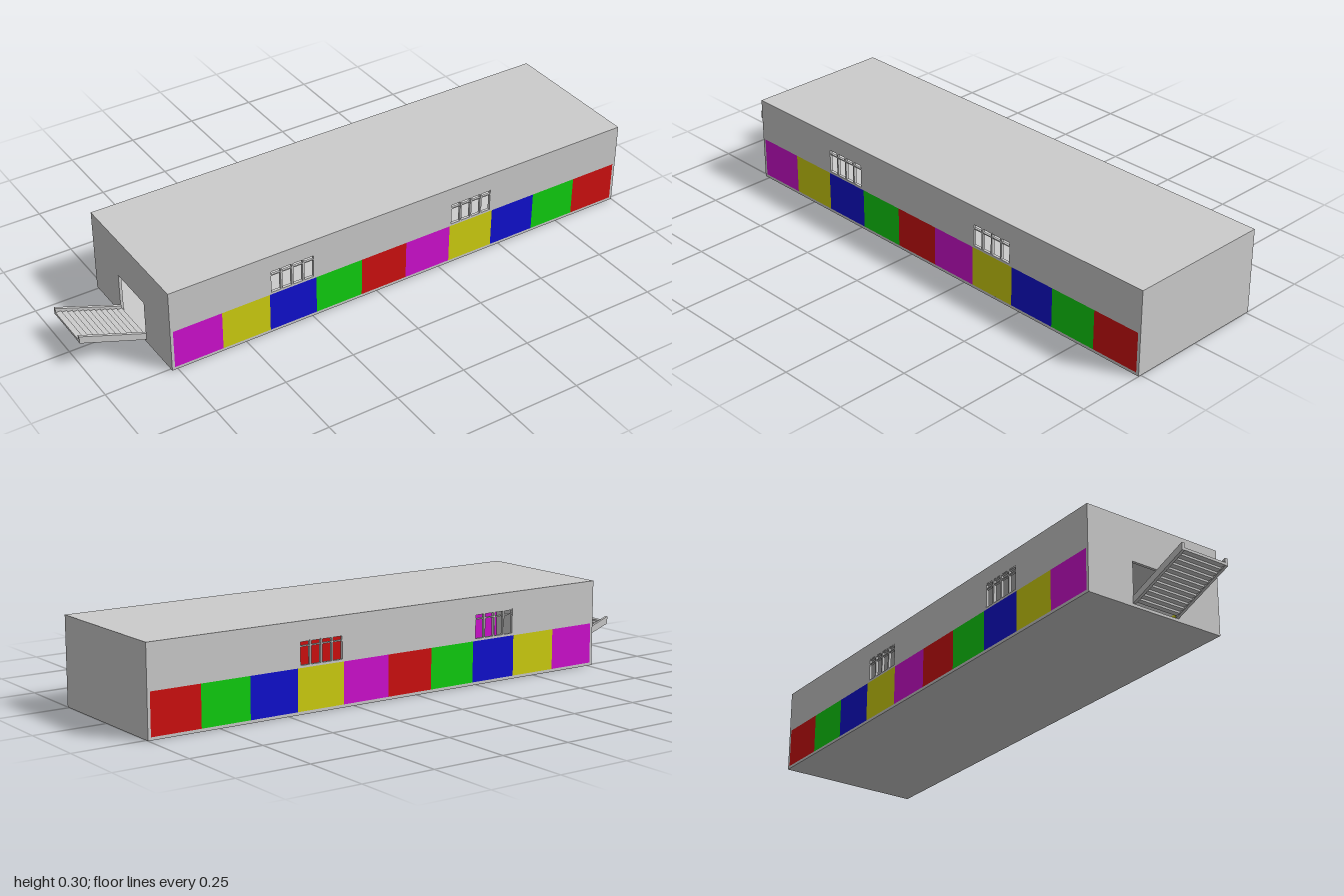
import * as THREE from 'three';

const grey = new THREE.MeshStandardMaterial({ color: 0xcccccc });
const [magenta, yellow, blue, green, red] = [0xd010d0, 0xd0d010, 0x1010d0, 0x10d010, 0xd01010]
  .map((color) => new THREE.MeshStandardMaterial({ color }));

const X0 = -0.77, X1 = 1, H = 0.3, D = 0.26, T = 0.01;
const BAND_TOP = 0.15;

// Box given by its min and max corners
function box(parent, name, [ax, ay, az], [bx, by, bz], material = grey) {
  const mesh = new THREE.Mesh(new THREE.BoxGeometry(bx - ax, by - ay, bz - az), material);
  mesh.position.set((ax + bx) / 2, (ay + by) / 2, (az + bz) / 2);
  mesh.name = name;
  parent.add(mesh);
  return mesh;
}

function rect(path, x0, y0, x1, y1) {
  path.moveTo(x0, y0);
  path.lineTo(x1, y0);
  path.lineTo(x1, y1);
  path.lineTo(x0, y1);
  path.closePath();
  return path;
}

// Wall plate of thickness T with rectangular holes
function wall(name, outer, holes) {
  const shape = rect(new THREE.Shape(), ...outer);
  holes.forEach((h) => shape.holes.push(rect(new THREE.Path(), ...h)));
  const geometry = new THREE.ExtrudeGeometry(shape, { depth: T, bevelEnabled: false });
  const mesh = new THREE.Mesh(geometry, grey);
  mesh.name = name;
  return mesh;
}

// Long wall with the coloured band and two barred windows
function longWall(name, z) {
  const group = new THREE.Group();
  group.name = name;
  const windows = [[-0.41, 0.158, -0.24, 0.242], [0.29, 0.158, 0.46, 0.237]];
  const plate = wall('wall', [X0, 0, X1, H], [[X0 + T, T, X1 - T, BAND_TOP], ...windows]);
  plate.position.z = z;
  group.add(plate);

  const colors = [magenta, yellow, blue, green, red];
  const w = (X1 - X0 - 2 * T) / 10;
  for (let i = 0; i < 10; i++) {
    const x = X0 + T + i * w;
    box(group, 'colourPanel', [x, T, z], [x + w, BAND_TOP, z + T], colors[i % 5]);
  }

  for (const [x0, y0, x1, y1] of windows) {
    const b = 0.006;
    for (let i = 0; i < 5; i++) {
      const x = x0 + (i / 4) * (x1 - x0 - b);
      box(group, 'windowBar', [x, y0, z], [x + b, y1, z + T]);
    }
    for (const y of [y1 - 0.02, y1 - 0.004]) {
      box(group, 'windowRail', [x0, y, z + 0.001], [x1, y + 0.004, z + T - 0.001]);
    }
  }
  return group;
}

// Sloping stair outside the doorway
function stair() {
  const group = new THREE.Group();
  group.name = 'stair';
  const side = rect(new THREE.Shape(), 0, 0, 0, 0);
  side.curves.length = 0;
  side.setFromPoints([[X0, 0.01], [X0, 0.035], [-1, 0.12], [-1, 0.094]].map((p) => new THREE.Vector2(...p)));
  for (const z of [-0.09, 0.08]) {
    const mesh = new THREE.Mesh(new THREE.ExtrudeGeometry(side, { depth: T, bevelEnabled: false }), grey);
    mesh.position.z = z;
    mesh.name = 'stringer';
    group.add(mesh);
  }
  const n = 12, run = (1 + X0) / n, rise = 0.084 / n;
  for (let i = 0; i < n; i++) {
    const x = X0 - i * run, y = 0.018 + i * rise;
    box(group, 'tread', [x - run, y, -0.08], [x, y + 0.009, 0.08]);
  }
  return group;
}

export function createModel() {
  const model = new THREE.Group();
  model.name = 'hall';

  model.add(longWall('frontWall', D - T), longWall('backWall', -D));

  // Floor, roof and closed end
  box(model, 'floor', [X0 + T, 0, -D + T], [X1 - T, T, D - T]);
  box(model, 'roof', [X0 + T, H - T, -D + T], [X1 - T, H, D - T]);
  box(model, 'closedEndWall', [X1 - T, 0, -D + T], [X1, H, D - T]);

  // End wall with the doorway
  const doorWall = wall('doorEndWall', [-D + T, 0, D - T, H], [[-0.087, T, 0.087, 0.155]]);
  doorWall.rotation.y = -Math.PI / 2;
  doorWall.position.x = X0 + T;
  model.add(doorWall);

  model.add(stair());
  return model;
}
